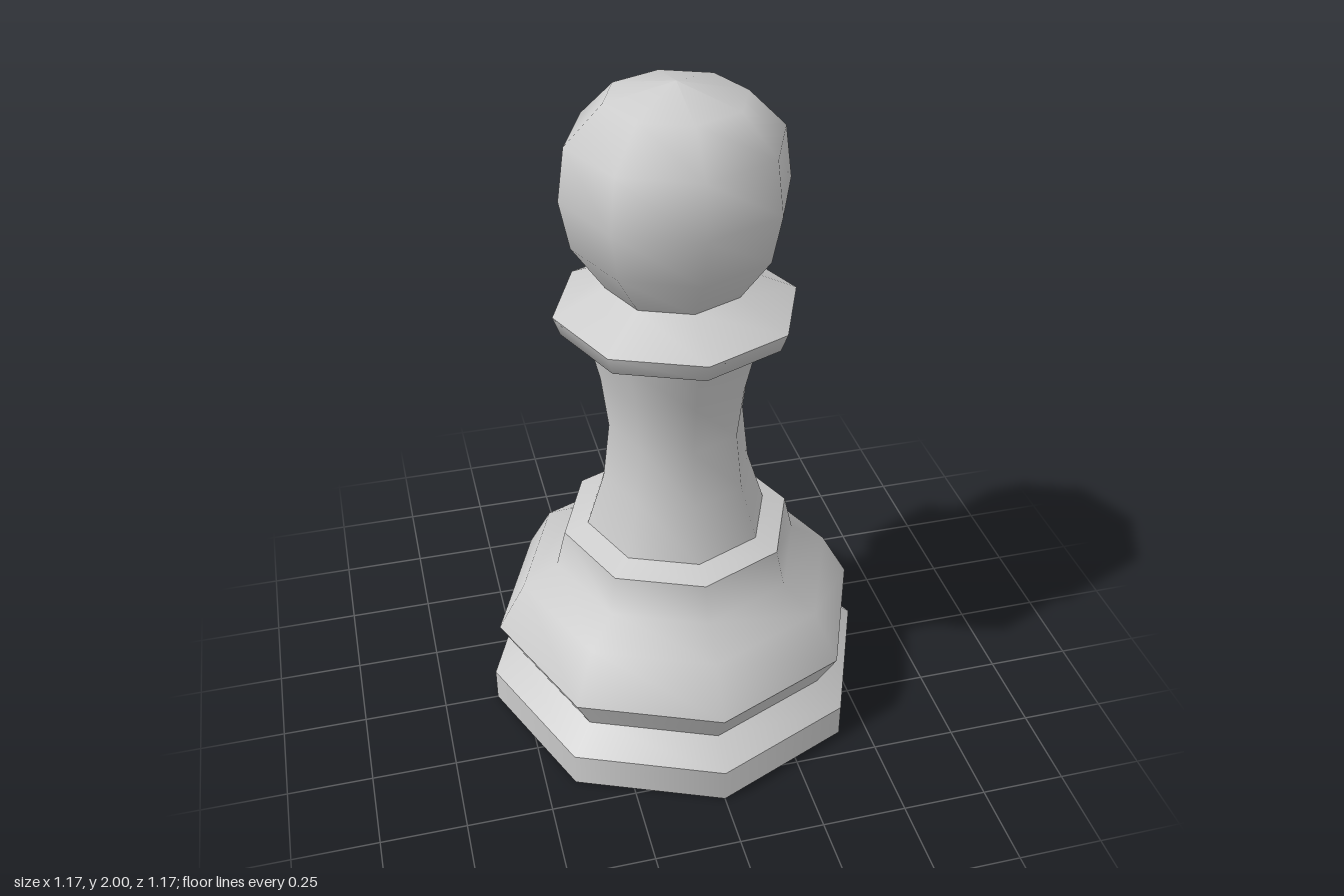
import * as THREE from 'three';

const SIDES = 8;

export function createModel() {
  const group = new THREE.Group();
  group.name = 'pawn';
  const stone = new THREE.MeshStandardMaterial({ color: 0xcccccc });
  stone.name = 'light grey';

  // Each band is smooth inside; edges between bands stay sharp. Points are [radius, y].
  const bands = {
    baseUnderside: [[0, 0], [0.585, 0]],
    baseWall: [[0.585, 0], [0.585, 0.105]],
    baseTop: [[0.585, 0.105], [0.5, 0.175]],
    skirtUnderside: [[0.5, 0.175], [0.56, 0.287]],
    skirt: [[0.56, 0.287], [0.478, 0.435], [0.372, 0.5], [0.344, 0.615]],
    skirtRim: [[0.344, 0.615], [0.272, 0.64]],
    stem: [[0.272, 0.64], [0.22, 0.805], [0.2, 0.98], [0.22, 1.14], [0.25, 1.267]],
    collarUnderside: [[0.25, 1.267], [0.328, 1.302], [0.348, 1.357]],
    collarTop: [[0.348, 1.357], [0.2, 1.43]],
    head: [[0.2, 1.43], [0.29, 1.56], [0.318, 1.7], [0.298, 1.85], [0.193, 1.957], [0, 2]],
  };

  for (const [name, points] of Object.entries(bands)) {
    const profile = points.map(([r, y]) => new THREE.Vector2(r, y));
    const mesh = new THREE.Mesh(new THREE.LatheGeometry(profile, SIDES), stone);
    mesh.name = name;
    group.add(mesh);
  }
  return group;
}
